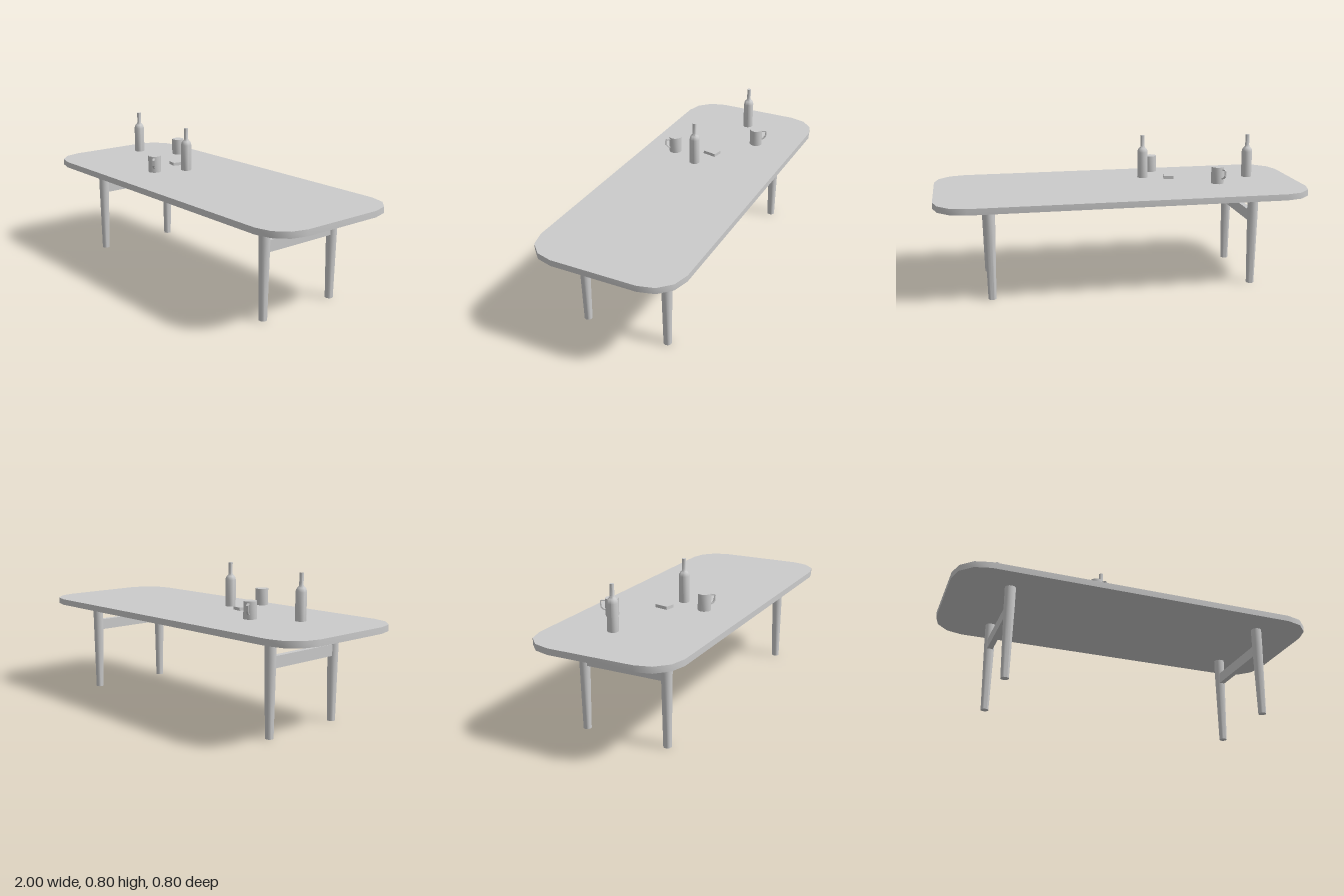
import * as THREE from 'three';
import { toCreasedNormals } from 'three/addons/utils/BufferGeometryUtils.js';

const material = new THREE.MeshStandardMaterial({ color: 0xcccccc });
const thinMaterial = new THREE.MeshStandardMaterial({ color: 0xcccccc, side: THREE.DoubleSide });
const PROP_Y = 0.56; // base level of everything set out on the table

function add(parent, name, geometry, x = 0, y = 0, z = 0, turn = 0, mat = material) {
  const mesh = new THREE.Mesh(geometry, mat);
  mesh.name = name;
  mesh.position.set(x, y, z);
  mesh.rotation.y = turn;
  parent.add(mesh);
  return mesh;
}

// Lathe from [radius, height] pairs, with sharp rims kept sharp
function turned(profile, sides, crease = 0.9) {
  const points = profile.map(([r, y]) => new THREE.Vector2(r, y));
  return toCreasedNormals(new THREE.LatheGeometry(points, sides), crease);
}

// Slab with faceted rounded corners
function tableTopGeometry() {
  const w = 1, d = 0.4, r = 0.17, steps = 3;
  const points = [];
  [[1, 1], [-1, 1], [-1, -1], [1, -1]].forEach(([sx, sy], corner) => {
    for (let i = 0; i <= steps; i++) {
      const a = (corner + i / steps) * Math.PI / 2;
      points.push(new THREE.Vector2(sx * (w - r) + r * Math.cos(a), sy * (d - r) + r * Math.sin(a)));
    }
  });
  const geometry = new THREE.ExtrudeGeometry(new THREE.Shape(points), { depth: 0.033, bevelEnabled: false });
  geometry.rotateX(-Math.PI / 2);
  return toCreasedNormals(geometry, 0.6);
}

// Angular strap handle reaching out along +x
function handleGeometry() {
  const strap = new THREE.Shape([
    [0.032, 0.074], [0.032, 0.081], [0.054, 0.081], [0.061, 0.073], [0.059, 0.044],
    [0.049, 0.031], [0.032, 0.024], [0.032, 0.031], [0.045, 0.037], [0.053, 0.047],
    [0.055, 0.071], [0.051, 0.074],
  ].map(([x, y]) => new THREE.Vector2(x, y)));
  const geometry = new THREE.ExtrudeGeometry(strap, { depth: 0.01, bevelEnabled: false });
  return geometry.translate(0, 0, -0.005);
}

export function createModel() {
  const model = new THREE.Group();
  model.name = 'tableWithDrinksAndCards';

  add(model, 'tableTop', tableTopGeometry(), 0, 0.5, 0);

  // Tapered legs in pairs, each pair joined by a crossbar
  const leg = turned([[0, 0], [0.021, 0], [0.0285, 0.4], [0.029, 0.5], [0, 0.5]], 16);
  const bar = new THREE.BoxGeometry(0.03, 0.06, 0.42);
  for (const [side, x] of [['right', -0.698], ['left', 0.717]]) {
    add(model, side + 'FrontLeg', leg, x, 0, 0.233);
    add(model, side + 'BackLeg', leg, x, 0, -0.233);
    add(model, side + 'Crossbar', bar, x, 0.378, 0);
  }

  // Bottles
  const bottle = turned([
    [0, 0], [0.0285, 0], [0.0285, 0.142], [0.0265, 0.153], [0.021, 0.163],
    [0.013, 0.17], [0.011, 0.178], [0.011, 0.236], [0, 0.236],
  ], 10);
  add(model, 'bottle', bottle, -0.72, PROP_Y, -0.046);
  add(model, 'bottle', bottle, -0.143, PROP_Y, 0.036);

  // Filled mugs
  const cup = turned([[0, 0], [0.035, 0], [0.035, 0.09], [0, 0.09]], 12);
  const handle = handleGeometry();
  for (const [x, z, turn] of [[-0.223, 0.196, -0.72], [-0.51, -0.183, 2.1]]) {
    const mug = new THREE.Group();
    mug.name = 'mug';
    mug.position.set(x, PROP_Y, z);
    mug.rotation.y = turn;
    add(mug, 'mugBody', cup);
    add(mug, 'mugHandle', handle);
    model.add(mug);
  }

  // Deck of cards and loose cards: [x, z, turn]
  add(model, 'cardDeck', new THREE.BoxGeometry(0.055, 0.017, 0.077), -0.281, PROP_Y + 0.0085, -0.008, -0.2);
  const card = new THREE.PlaneGeometry(0.055, 0.077).rotateX(-Math.PI / 2);
  const loose = [
    [-0.533, -0.014, 0.5], [-0.413, -0.05, -0.4], [-0.385, -0.018, 0.45], [-0.455, -0.003, -0.75],
    [-0.405, 0.035, 0.7], [-0.447, 0.045, -0.2], [-0.475, 0.035, 1.3],
  ];
  loose.forEach(([x, z, turn], i) =>
    add(model, 'looseCard', card, x, PROP_Y + 0.001 + i * 0.0003, z, turn, thinMaterial));

  return model;
}
